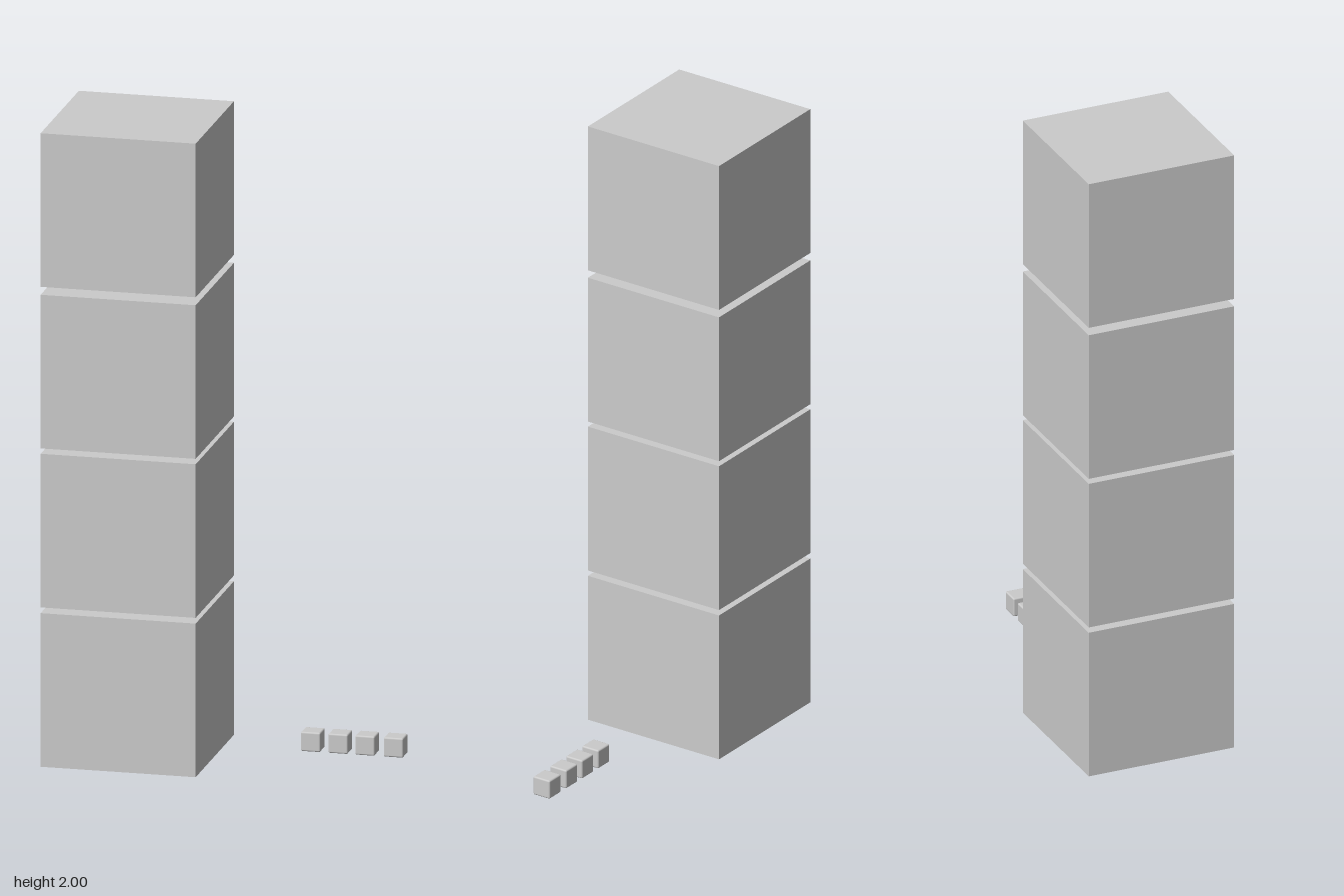
import * as THREE from 'three';
import { RoundedBoxGeometry } from 'three/addons/geometries/RoundedBoxGeometry.js';

export function createModel() {
  const model = new THREE.Group();
  const material = new THREE.MeshStandardMaterial({ color: 0xcccccc });

  const addPart = (parent, name, geometry, x, y) => {
    const mesh = new THREE.Mesh(geometry, material);
    mesh.name = name;
    mesh.position.set(x, y, 0);
    parent.add(mesh);
  };

  // Tower of four large cubes with narrow, slightly uneven gaps
  const tower = new THREE.Group();
  tower.name = 'tower';
  const size = 0.485;
  const largeCube = new THREE.BoxGeometry(size, size, size);
  [0, 0.503, 1.005, 1.515].forEach((bottom, i) =>
    addPart(tower, `largeCube${i + 1}`, largeCube, -0.3, bottom + size / 2));
  model.add(tower);

  // Row of four small cubes with softened edges, floating beside the tower
  const row = new THREE.Group();
  row.name = 'smallCubeRow';
  const smallCube = new RoundedBoxGeometry(0.061, 0.061, 0.061, 2, 0.005);
  [0.249, 0.335, 0.419, 0.508].forEach((x, i) =>
    addPart(row, `smallCube${i + 1}`, smallCube, x, 0.073));
  model.add(row);

  return model;
}
